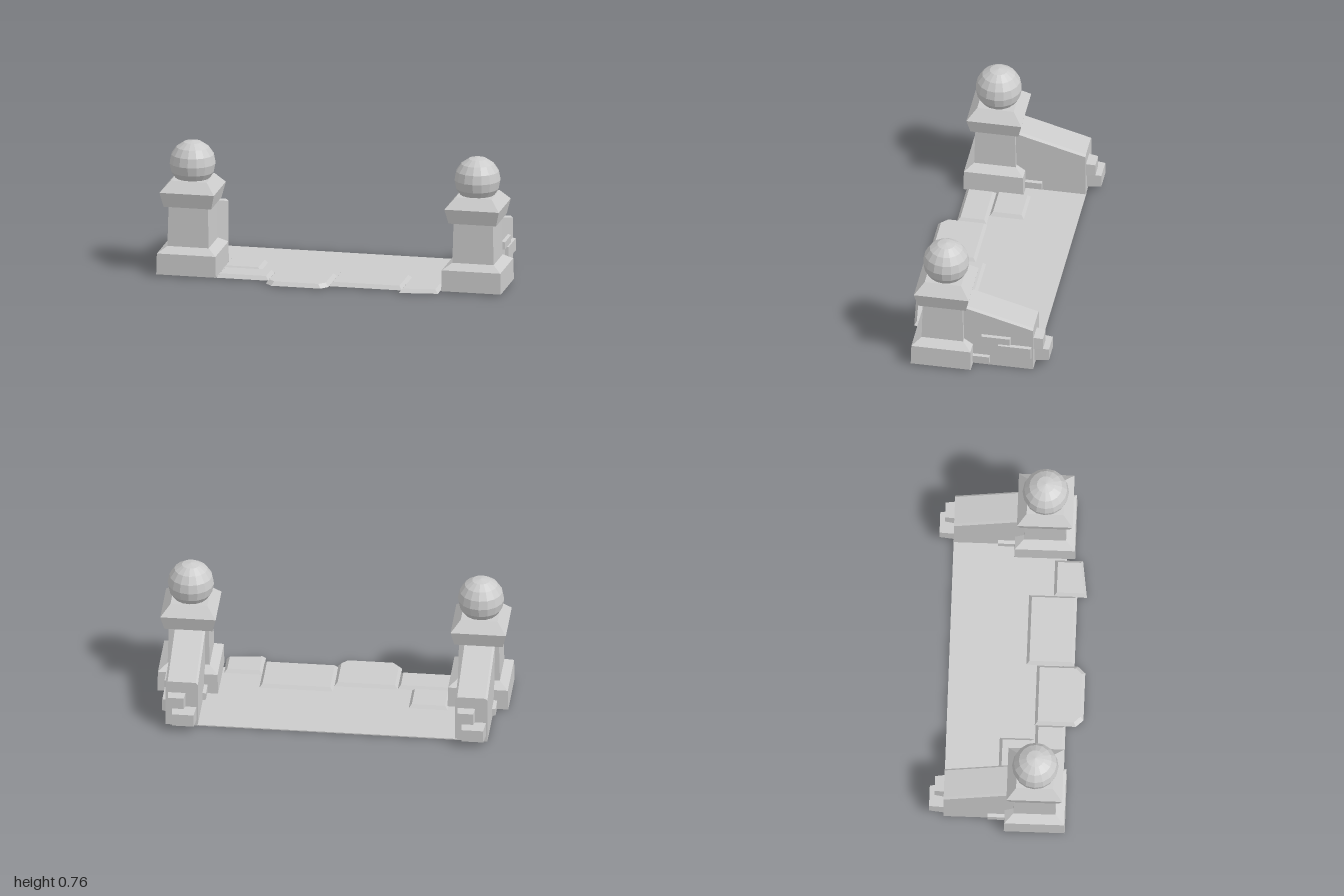
import * as THREE from 'three';

const material = new THREE.MeshStandardMaterial({ color: 0xcccccc, flatShading: true });

function add(parent, name, geometry) {
  const mesh = new THREE.Mesh(geometry, material);
  mesh.name = name;
  parent.add(mesh);
  return mesh;
}

// Closed solid between two loops, counter-clockwise when seen from the second one
function loft(a, b) {
  const pos = [];
  const tri = (...pts) => pts.forEach(p => pos.push(...p));
  const n = a.length;
  for (let i = 0; i < n; i++) {
    const j = (i + 1) % n;
    tri(a[i], a[j], b[j]);
    tri(a[i], b[j], b[i]);
    if (i > 0 && i < n - 1) {
      tri(b[0], b[i], b[j]);
      tri(a[0], a[j], a[i]);
    }
  }
  const g = new THREE.BufferGeometry();
  g.setAttribute('position', new THREE.Float32BufferAttribute(pos, 3));
  g.computeVertexNormals();
  return g;
}

// Flat stone with sloping sides: an x/z outline rising from y0 to y1
function slab(outline, y0, y1, inset) {
  const box = new THREE.Box2().setFromPoints(outline.map(p => new THREE.Vector2(...p)));
  const c = box.getCenter(new THREE.Vector2());
  const s = box.getSize(new THREE.Vector2());
  const kx = 1 - 2 * inset / s.x, kz = 1 - 2 * inset / s.y;
  return loft(
    outline.map(([x, z]) => [x, y0, z]),
    outline.map(([x, z]) => [c.x + (x - c.x) * kx, y1, c.y + (z - c.y) * kz])
  );
}

const rect = (x0, x1, z0, z1) => [[x0, z1], [x1, z1], [x1, z0], [x0, z0]];

// Brick of size w x d that rises by h along its own y
function brick(parent, w, d, h, inset) {
  return add(parent, 'brick', slab(rect(-w / 2, w / 2, -d / 2, d / 2), -0.02, h, inset));
}

// Brick on the side of a wall; dir is +1 or -1 along x
function sideBrick(parent, x, dir, y0, y1, z0, z1) {
  const m = brick(parent, y1 - y0, z1 - z0, 0.02, 0.006);
  m.rotation.z = -dir * Math.PI / 2;
  m.position.set(x, (y0 + y1) / 2, (z0 + z1) / 2);
}

// Brick on the back end of a wall
function endBrick(parent, x0, x1, y0, y1, depth) {
  const m = brick(parent, x1 - x0, y1 - y0, depth, 0.008);
  m.rotation.x = -Math.PI / 2;
  m.position.set((x0 + x1) / 2, (y0 + y1) / 2, -0.345);
}

// Square pillar part from [half width, height] pairs
function squareLathe(profile) {
  const pts = profile.map(([r, y]) => new THREE.Vector2(r * Math.SQRT2, y));
  const g = new THREE.LatheGeometry(pts, 4, Math.PI / 4).toNonIndexed();
  g.computeVertexNormals();
  return g;
}

function pillar(x) {
  const g = new THREE.Group();
  g.name = 'pillar';
  g.position.set(x, 0, 0.172);
  add(g, 'base', squareLathe([[0, 0.01], [0.173, 0.01], [0.17, 0.132], [0.12, 0.166], [0, 0.166]]));
  add(g, 'shaft', squareLathe([[0.12, 0.16], [0.114, 0.405]]));
  add(g, 'cap', squareLathe([[0, 0.4], [0.138, 0.4], [0.158, 0.486], [0.105, 0.547], [0, 0.547]]));
  add(g, 'ball', new THREE.SphereGeometry(0.132, 16, 8)).position.y = 0.632;
  return g;
}

// Sloping side wall with chamfered top edges
function wall(x) {
  const w = 0.092, c = 0.012;
  const section = (h, z) => [
    [-w, 0, z], [w, 0, z], [w, h - c, z], [w - c, h, z], [c - w, h, z], [-w, h - c, z]
  ];
  const g = new THREE.Group();
  g.name = 'sideWall';
  g.position.x = x;
  add(g, 'wallBody', loft(section(0.283, -0.345), section(0.397, 0.06)));
  endBrick(g, -0.085, 0.055, 0.035, 0.125, 0.083);
  endBrick(g, -0.025, 0.08, 0.13, 0.215, 0.053);
  sideBrick(g, -w, -1, 0.017, 0.07, -0.1, 0.03);
  sideBrick(g, w, 1, 0.017, 0.07, -0.1, 0.03);
  return g;
}

export function createModel() {
  const model = new THREE.Group();
  model.name = 'gateway';

  // Pillars and walls on both sides
  for (const side of [-1, 1]) {
    model.add(pillar(side * 0.827));
    const w = wall(side * 0.825);
    model.add(w);
    if (side > 0) {
      sideBrick(w, 0.092, 1, 0.16, 0.213, -0.22, -0.045);
      sideBrick(w, 0.092, 1, 0.078, 0.16, -0.34, -0.14);
    }
  }

  // Ground between the walls
  add(model, 'floor', new THREE.BoxGeometry(1.5, 0.006, 0.645)).position.set(0, 0.005, -0.025);

  // Paving stones along the front
  const stones = [
    rect(-0.66, -0.435, -0.045, 0.155),
    rect(-0.655, -0.352, 0.155, 0.327),
    [[-0.355, 0.385], [-0.315, 0.427], [-0.03, 0.427], [0.008, 0.385], [0.008, 0.15], [-0.355, 0.15]],
    rect(0.008, 0.43, 0.09, 0.365),
    [[0.425, 0.42], [0.645, 0.39], [0.645, 0.23], [0.425, 0.23]]
  ];
  for (const outline of stones) add(model, 'pavingStone', slab(outline, 0.006, 0.028, 0.018));

  return model;
}
